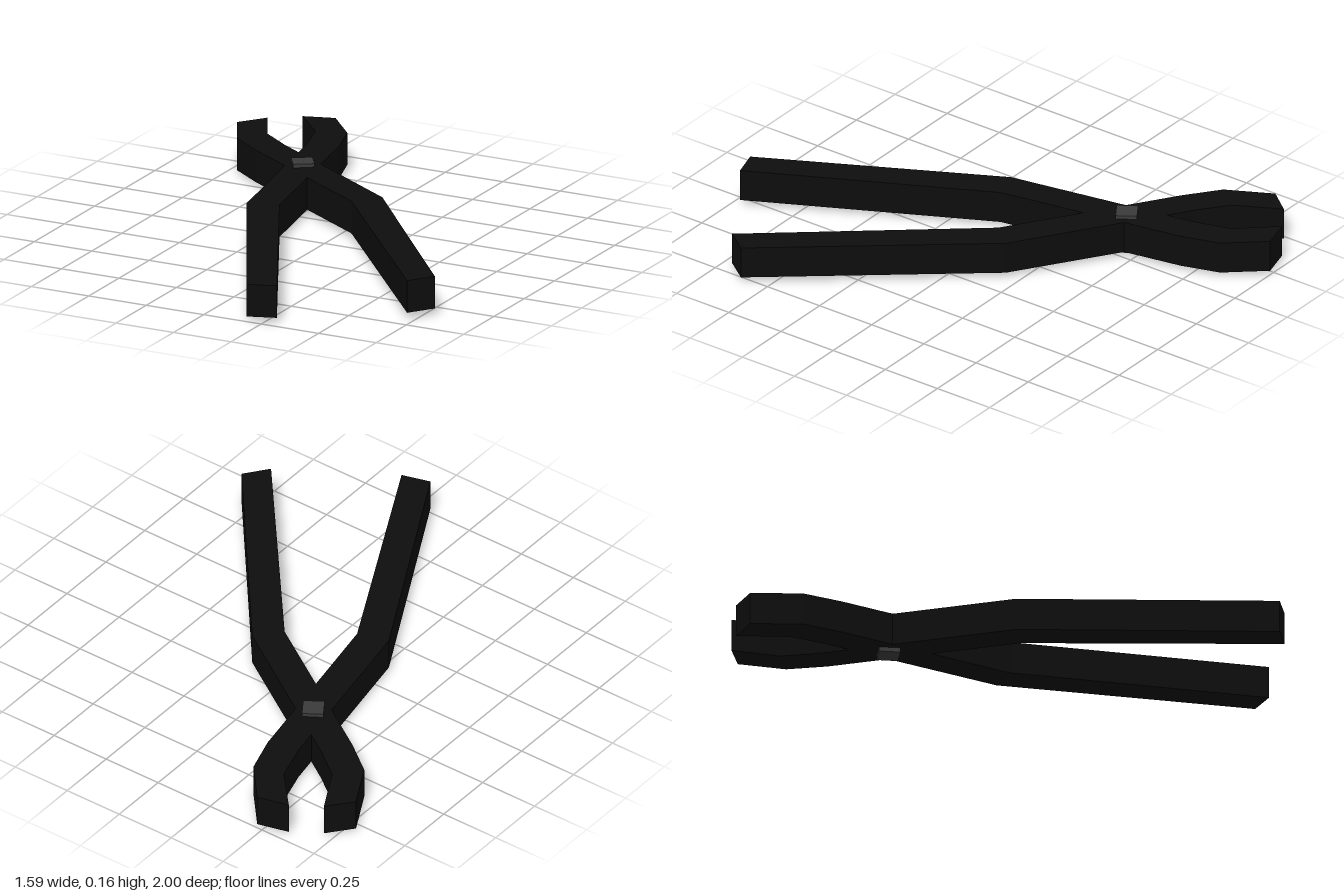
import * as THREE from 'three';

const THICKNESS = 0.13;

// Height of the underside: the tool lies very slightly tilted
const underside = (x, z) => 0.021 + 0.011 * x - 0.002 * z;

// Flat bar cut from an [x, z] outline, raised along y and tilted
function makeArm(name, outline, material) {
  const shape = new THREE.Shape(outline.map(([x, z]) => new THREE.Vector2(x, -z)));
  const geometry = new THREE.ExtrudeGeometry(shape, { depth: THICKNESS, bevelEnabled: false });
  geometry.rotateX(-Math.PI / 2);
  const p = geometry.attributes.position;
  for (let i = 0; i < p.count; i++) {
    p.setY(i, p.getY(i) + underside(p.getX(i), p.getZ(i)));
  }
  geometry.computeVertexNormals();
  const mesh = new THREE.Mesh(geometry, material);
  mesh.name = name;
  return mesh;
}

export function createModel() {
  const group = new THREE.Group();
  group.name = 'pliers';

  const blackSteel = new THREE.MeshStandardMaterial({ color: 0x0d0d0d });
  blackSteel.name = 'blackSteel';
  const greySteel = new THREE.MeshStandardMaterial({ color: 0x3a3a3a });
  greySteel.name = 'greySteel';

  // Arm with the wide-swung handle: jaw tip, outer edge, handle end, inner edge
  group.add(makeArm('leftArm', [
    [-0.715, -0.89], [-0.795, -0.79], [-0.7, -0.61], [-0.567, -0.51],
    [0.065, -0.1], [0.722, 0.69], [0.793, 0.595], [0.148, -0.197],
    [-0.497, -0.617], [-0.62, -0.71],
  ], blackSteel));

  // Crossing arm
  group.add(makeArm('rightArm', [
    [-0.477, -1], [-0.603, -0.965], [-0.47, -0.82], [-0.425, -0.665],
    [-0.287, 0.1], [0.187, 1], [0.3, 0.965], [-0.164, 0.06],
    [-0.302, -0.7], [-0.35, -0.855],
  ], blackSteel));

  // Square pivot pin through both arms
  const pivot = new THREE.Mesh(new THREE.BoxGeometry(0.083, 0.163, 0.083), greySteel);
  pivot.name = 'pivotPin';
  pivot.position.set(-0.32, 0.0815, -0.43);
  pivot.rotation.y = 0.58;
  group.add(pivot);

  return group;
}
